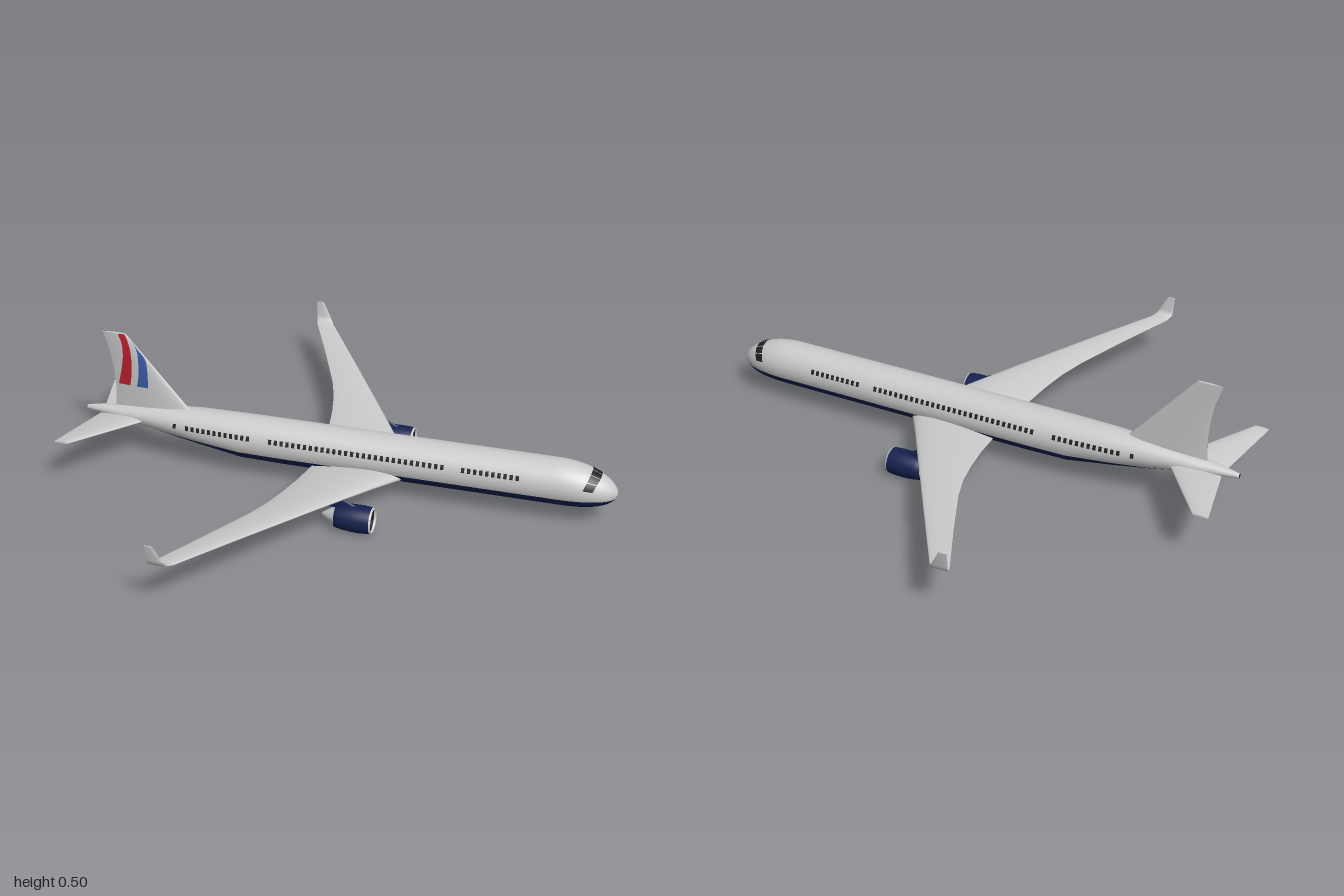
import * as THREE from 'three';
import { mergeGeometries } from 'three/addons/utils/BufferGeometryUtils.js';

const mat = (color, side = THREE.FrontSide) => new THREE.MeshStandardMaterial({ color, side });
const grey = mat(0xcccccc), navy = mat(0x16214f), dark = mat(0x222226);
const red = mat(0xc0202e, THREE.DoubleSide), blue = mat(0x3a5ca8, THREE.DoubleSide);

function add(parent, name, geometry, material) {
  const mesh = new THREE.Mesh(geometry, material);
  mesh.name = name;
  parent.add(mesh);
  return mesh;
}

function build(pos, idx) {
  const g = new THREE.BufferGeometry();
  g.setAttribute('position', new THREE.Float32BufferAttribute(pos, 3));
  g.setIndex(idx);
  g.computeVertexNormals();
  return g;
}

// Surface patch from fn(u, v) -> [x, y, z]
function patch(fn, nu, nv) {
  const pos = [], idx = [];
  for (let i = 0; i <= nu; i++) for (let j = 0; j <= nv; j++) pos.push(...fn(i / nu, j / nv));
  for (let i = 0; i < nu; i++) for (let j = 0; j < nv; j++) {
    const a = i * (nv + 1) + j, b = a + nv + 1;
    idx.push(a, b, a + 1, b, b + 1, a + 1);
  }
  return build(pos, idx);
}

// Fuselage outline: x, top, bottom, half width along the tail; a formula for the nose
const TAIL = [
  [-1, 0.178, 0.16, 0.008], [-0.95, 0.187, 0.154, 0.018], [-0.85, 0.2, 0.142, 0.035],
  [-0.7, 0.215, 0.117, 0.055], [-0.55, 0.224, 0.09, 0.07], [-0.38, 0.226, 0.061, 0.081],
  [-0.22, 0.226, 0.058, 0.083], [0.78, 0.226, 0.058, 0.083],
];
function body(x) {
  let top, bot, w;
  if (x >= 0.78) {
    const t = Math.min(1, (x - 0.78) / 0.22);
    top = 0.125 + 0.101 * (1 - t ** 2) ** 0.6;
    bot = 0.125 - 0.067 * Math.sqrt(1 - t ** 3);
    w = 0.083 * Math.sqrt(1 - t ** 2.2);
  } else {
    const k = Math.max(1, TAIL.findIndex((s) => s[0] >= x));
    const a = TAIL[k - 1], b = TAIL[k], f = (x - a[0]) / (b[0] - a[0]);
    [top, bot, w] = [1, 2, 3].map((i) => a[i] + (b[i] - a[i]) * f);
  }
  return { c: (top + bot) / 2, ry: (top - bot) / 2, w };
}
function skin(x, a, off = 0) {
  const { c, ry, w } = body(x);
  return [x, c + (ry + off) * Math.sin(a), (w + off) * Math.cos(a)];
}
function angleAt(x, y) {
  const { c, ry } = body(x);
  return Math.asin(THREE.MathUtils.clamp((y - c) / Math.max(ry, 1e-5), -1, 1));
}

// Wing-like solid: sections { le, te, n, t } = leading/trailing edge, thickness direction, thickness
const foil = (u) => 1.3 * Math.sqrt(u) * (1 - u);
function loft(sections, N = 24) {
  const pos = [], idx = [], M = N + 1;
  const rings = sections.map(({ le, te, n, t }) => Array.from({ length: M }, (_, j) => {
    const s = 1 - (2 * j) / N, u = s * s;
    const h = (Math.sign(s) * foil(u) + 0.06 * s) * t;
    return [0, 1, 2].map((k) => le[k] + (te[k] - le[k]) * u + n[k] * h);
  }));
  rings.forEach((r) => r.forEach((p) => pos.push(...p)));
  for (let i = 0; i < rings.length - 1; i++) for (let j = 0; j < M; j++) {
    const q = (j + 1) % M, a = i * M + j, b = a + M, c = i * M + q, d = c + M;
    idx.push(a, b, c, b, d, c);
  }
  // End caps on their own vertices
  [rings[0], rings[rings.length - 1]].forEach((r, e) => {
    const o = pos.length / 3;
    r.forEach((p) => pos.push(...p));
    for (let j = 1; j < N; j++) idx.push(o, o + (e ? j + 1 : j), o + (e ? j : j + 1));
  });
  // Turn the faces outward using the signed volume
  const V = (i) => new THREE.Vector3(pos[3 * i], pos[3 * i + 1], pos[3 * i + 2]);
  let vol = 0;
  for (let i = 0; i < idx.length; i += 3) vol += V(idx[i]).dot(V(idx[i + 1]).cross(V(idx[i + 2])));
  if (vol < 0) idx.reverse();
  return build(pos, idx);
}

// Sections as rows: z, leading x, trailing x, y, thickness, lean of the thickness direction
const spanwise = (rows, side) => loft(rows.map(([z, l, t, y, th, lean = 0]) => ({
  le: [l, y, z * side], te: [t, y, z * side], t: th,
  n: [0, Math.cos(lean), -Math.sin(lean) * side],
})));

const WING = [
  [0.03, 0.26, -0.09, 0.09, 0.05], [0.085, 0.222, -0.1, 0.096, 0.046], [0.18, 0.16, -0.11, 0.107, 0.036],
  [0.3, 0.085, -0.13, 0.12, 0.026], [0.4, 0.022, -0.153, 0.13, 0.021], [0.5, -0.041, -0.187, 0.139, 0.017],
  [0.7, -0.167, -0.275, 0.157, 0.012], [0.915, -0.303, -0.375, 0.174, 0.008, 0.15],
  [0.938, -0.318, -0.382, 0.183, 0.007, 0.8], [0.945, -0.328, -0.384, 0.2, 0.006, 1.4],
  [0.951, -0.357, -0.386, 0.257, 0.004, 1.5],
];
const STABILIZER = [[0.005, -0.74, -0.94, 0.158, 0.024], [0.305, -0.945, -1, 0.184, 0.007]];

// Fin rows: y, leading x, trailing x, thickness
const FIN = [
  [0.17, -0.55, -0.885, 0.032], [0.225, -0.596, -0.88, 0.028], [0.28, -0.643, -0.878, 0.024],
  [0.35, -0.702, -0.882, 0.019], [0.42, -0.761, -0.893, 0.014], [0.497, -0.826, -0.917, 0.009],
];
function finZ(x, y) {
  const k = Math.max(1, FIN.findIndex((r) => r[0] >= y));
  const a = FIN[k - 1], b = FIN[k], f = (y - a[0]) / (b[0] - a[0]);
  const [l, t, th] = [1, 2, 3].map((i) => a[i] + (b[i] - a[i]) * f);
  const u = THREE.MathUtils.clamp((x - l) / (t - l), 0, 1);
  return (foil(u) + 0.06) * th + 0.0012;
}
// Curved stripe through rows: y, rear x, front x
function stripe(rows) {
  const at = (k) => new THREE.CatmullRomCurve3(rows.map((r) => new THREE.Vector3(r[k], r[0], 0)));
  const rear = at(1), front = at(2);
  return patch((u, v) => {
    const p = rear.getPoint(v).lerp(front.getPoint(v), u);
    return [p.x, p.y, finZ(p.x, p.y)];
  }, 5, 14);
}

function engine(side) {
  const g = new THREE.Group();
  g.name = side > 0 ? 'rightEngine' : 'leftEngine';
  const turn = (name, pts, m) => add(g, name,
    new THREE.LatheGeometry(pts.map((p) => new THREE.Vector2(...p)), 32).rotateZ(-Math.PI / 2), m);
  turn('nacelle', [[0.036, 0.06], [0.041, 0.06], [0.046, 0.085], [0.0495, 0.12], [0.05, 0.155], [0.047, 0.188]], navy);
  turn('intakeLip', [[0.047, 0.187], [0.0455, 0.193], [0.043, 0.195], [0.041, 0.192], [0.04, 0.186]], grey);
  turn('intakeDuct', [[0.04, 0.187], [0.04, 0.165], [0, 0.165]], dark);
  turn('spinner', [[0.011, 0.164], [0.008, 0.174], [0, 0.181]], grey);
  turn('exhaustCone', [[0, 0.008], [0.005, 0.01], [0.022, 0.035], [0.037, 0.064]], grey);
  add(g, 'pylon', loft([
    { le: [0.15, 0.04, 0], te: [0.02, 0.035, 0], n: [0, 0, 1], t: 0.014 },
    { le: [0.09, 0.07, 0], te: [-0.04, 0.068, 0], n: [0, 0, 1], t: 0.012 },
  ]), navy);
  g.position.set(0, 0.05, 0.296 * side);
  return g;
}

export function createModel() {
  const plane = new THREE.Group();
  plane.name = 'airliner';

  // Fuselage in two colours, split along a waterline that climbs at the tail
  const xs = TAIL.map((s) => s[0]);
  for (let i = 1; i <= 20; i++) xs.push(0.78 + 0.22 * Math.sin((i / 20) * Math.PI / 2));
  const split = (x) => angleAt(x, x > -0.38 ? 0.11 : 0.11 + (-0.38 - x) * 0.066);
  const station = (u) => xs[Math.round(u * (xs.length - 1))];
  add(plane, 'upperFuselage', patch((u, v) => {
    const x = station(u), a = split(x);
    return skin(x, a + v * (Math.PI - 2 * a));
  }, xs.length - 1, 36), grey);
  add(plane, 'belly', patch((u, v) => {
    const x = station(u), a = split(x);
    return skin(x, Math.PI - a + v * (Math.PI + 2 * a));
  }, xs.length - 1, 24), navy);
  add(plane, 'tailCap', new THREE.CircleGeometry(1, 20).scale(0.008, 0.009, 1)
    .rotateY(-Math.PI / 2).translate(-1, 0.169, 0), dark);

  // Cabin windows
  const panes = [];
  for (const [from, to] of [[-0.63, -0.63], [-0.58, -0.34], [-0.255, 0.385], [0.46, 0.655]]) {
    const n = Math.round((to - from) / 0.0222);
    for (let i = 0; i <= n; i++) for (const side of [1, -1]) {
      const x = from + (n ? (i / n) * (to - from) : 0);
      panes.push(patch((u, v) => {
        const px = x + (u - 0.5) * 0.012;
        const a = angleAt(px, 0.173 + (v - 0.5) * side * 0.017);
        return skin(px, side > 0 ? a : Math.PI - a, 0.001);
      }, 1, 2));
    }
  }
  add(plane, 'cabinWindows', mergeGeometries(panes), dark);

  // Cockpit windows wrap over the nose
  const glass = [];
  for (let i = 0; i < 6; i++) glass.push(patch((u, v) => {
    const a = THREE.MathUtils.degToRad(14 + i * 25.6 + 1.2 + v * 23.2);
    return skin(0.876 + 0.03 * Math.sin(a) + u * 0.034, a, 0.0015);
  }, 5, 6));
  add(plane, 'cockpitWindows', mergeGeometries(glass), dark);

  // Wings, stabilizers and engines on both sides
  for (const side of [1, -1]) {
    const s = side > 0 ? 'right' : 'left';
    add(plane, s + 'Wing', spanwise(WING, side), grey);
    add(plane, s + 'Stabilizer', spanwise(STABILIZER, side), grey);
    plane.add(engine(side));
  }

  // Fin with two painted stripes on one face
  add(plane, 'fin', loft(FIN.map(([y, l, t, th]) => ({ le: [l, y, 0], te: [t, y, 0], n: [0, 0, 1], t: th }))), grey);
  add(plane, 'redStripe', stripe([[0.29, -0.865, -0.817], [0.35, -0.85, -0.808],
    [0.41, -0.84, -0.807], [0.46, -0.842, -0.815], [0.496, -0.855, -0.829]]), red);
  add(plane, 'blueStripe', stripe([[0.29, -0.79, -0.746], [0.34, -0.781, -0.745],
    [0.4, -0.78, -0.752], [0.44, -0.786, -0.781], [0.47, -0.804, -0.803]]), blue);

  return plane;
}
